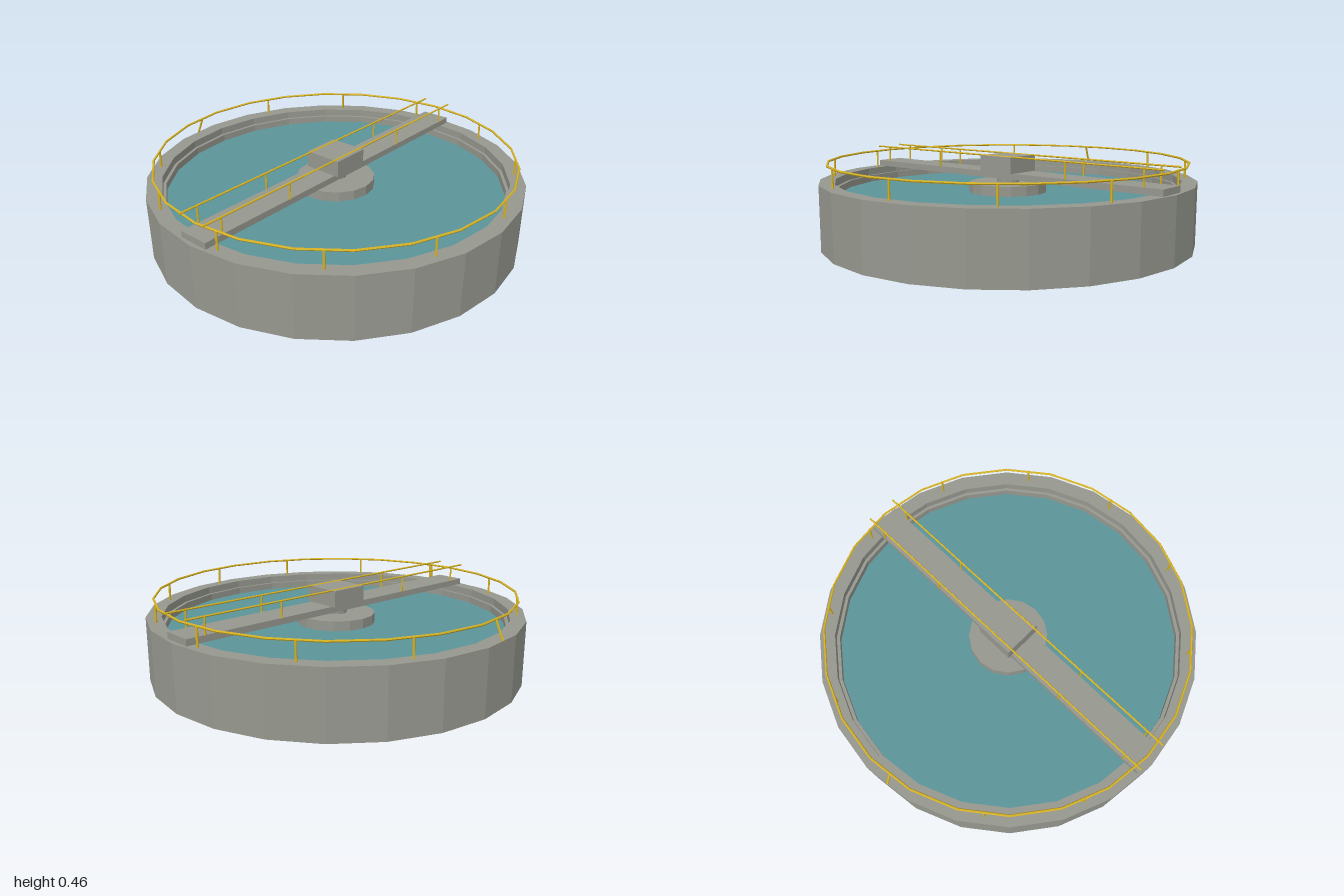
import * as THREE from 'three';

const concrete = new THREE.MeshStandardMaterial({ color: 0x96988f, flatShading: true });
concrete.name = 'concrete';
const water = new THREE.MeshStandardMaterial({ color: 0x5b9499, flatShading: true });
water.name = 'water';
const yellow = new THREE.MeshStandardMaterial({ color: 0xd6b224, flatShading: true });
yellow.name = 'railing yellow';

const SIDES = 24;
const RIM = 0.34;
const WATER = 0.263;
const DECK = 0.373;

export function createModel() {
  const model = new THREE.Group();
  model.name = 'clarifierTank';

  const add = (name, geometry, material, x = 0, y = 0, z = 0, parent = model) => {
    const mesh = new THREE.Mesh(geometry, material);
    mesh.name = name;
    mesh.position.set(x, y, z);
    parent.add(mesh);
    return mesh;
  };
  const lathe = (points) =>
    new THREE.LatheGeometry(points.map(([r, y]) => new THREE.Vector2(r, y)), SIDES);

  // Thin round bar between two points
  const bar = (name, from, to, radius, parent) => {
    const a = new THREE.Vector3(...from);
    const b = new THREE.Vector3(...to);
    const mesh = add(name, new THREE.CylinderGeometry(radius, radius, a.distanceTo(b), 6), yellow, 0, 0, 0, parent);
    mesh.position.copy(a).add(b).multiplyScalar(0.5);
    mesh.quaternion.setFromUnitVectors(new THREE.Vector3(0, 1, 0), b.sub(a).normalize());
  };

  // Basin with its overflow weir and water surface
  add('tankWall', lathe([[0, 0], [1, 0], [1, RIM], [0.92, RIM], [0.92, 0.2]]), concrete);
  add('weir', lathe([[0.921, 0.3], [0.903, 0.3], [0.903, 0.2]]), concrete);
  const surface = add('waterSurface', new THREE.CircleGeometry(0.91, SIDES), water, 0, WATER, 0);
  surface.rotation.x = -Math.PI / 2;

  // Centre well, shaft, bridge and drive housing
  add('centreWell', new THREE.CylinderGeometry(0.21, 0.21, 0.115, 16), concrete, 0, 0.2575, 0);
  add('driveShaft', new THREE.CylinderGeometry(0.06, 0.06, 0.06, 12), concrete, 0, 0.325, 0);
  add('bridgeDeck', new THREE.BoxGeometry(1.95, DECK - RIM, 0.164), concrete, 0, (DECK + RIM) / 2, 0);
  add('driveHousing', new THREE.BoxGeometry(0.21, 0.087, 0.21), concrete, 0, DECK + 0.0435, 0);

  // Handrails along both sides of the bridge
  for (const side of [-1, 1]) {
    const rail = new THREE.Group();
    rail.name = side > 0 ? 'bridgeRailFront' : 'bridgeRailBack';
    model.add(rail);
    const z = side * 0.082;
    bar('handrail', [-0.975, 0.46, z], [0.975, 0.46, z], 0.005, rail);
    for (let i = -2; i <= 2; i++) {
      bar('railPost', [i * 0.4375, DECK, z], [i * 0.4375, 0.46, z], 0.005, rail);
    }
  }

  // Round railing on the rim, with one post leaning outwards at the back
  const ring = new THREE.Group();
  ring.name = 'rimRailing';
  model.add(ring);
  const hoop = add('rimHandrail', new THREE.TorusGeometry(0.955, 0.006, 6, SIDES), yellow, 0, 0.435, 0, ring);
  hoop.rotation.x = Math.PI / 2;
  for (let k = 0; k < 12; k++) {
    const a = THREE.MathUtils.degToRad(30 * k - 7.5);
    const x = Math.cos(a);
    const z = Math.sin(a);
    const foot = k === 9 ? 0.99 : 0.952;
    bar('rimPost', [x * foot, RIM, z * foot], [x * 0.95, 0.435, z * 0.95], 0.006, ring);
  }

  return model;
}
